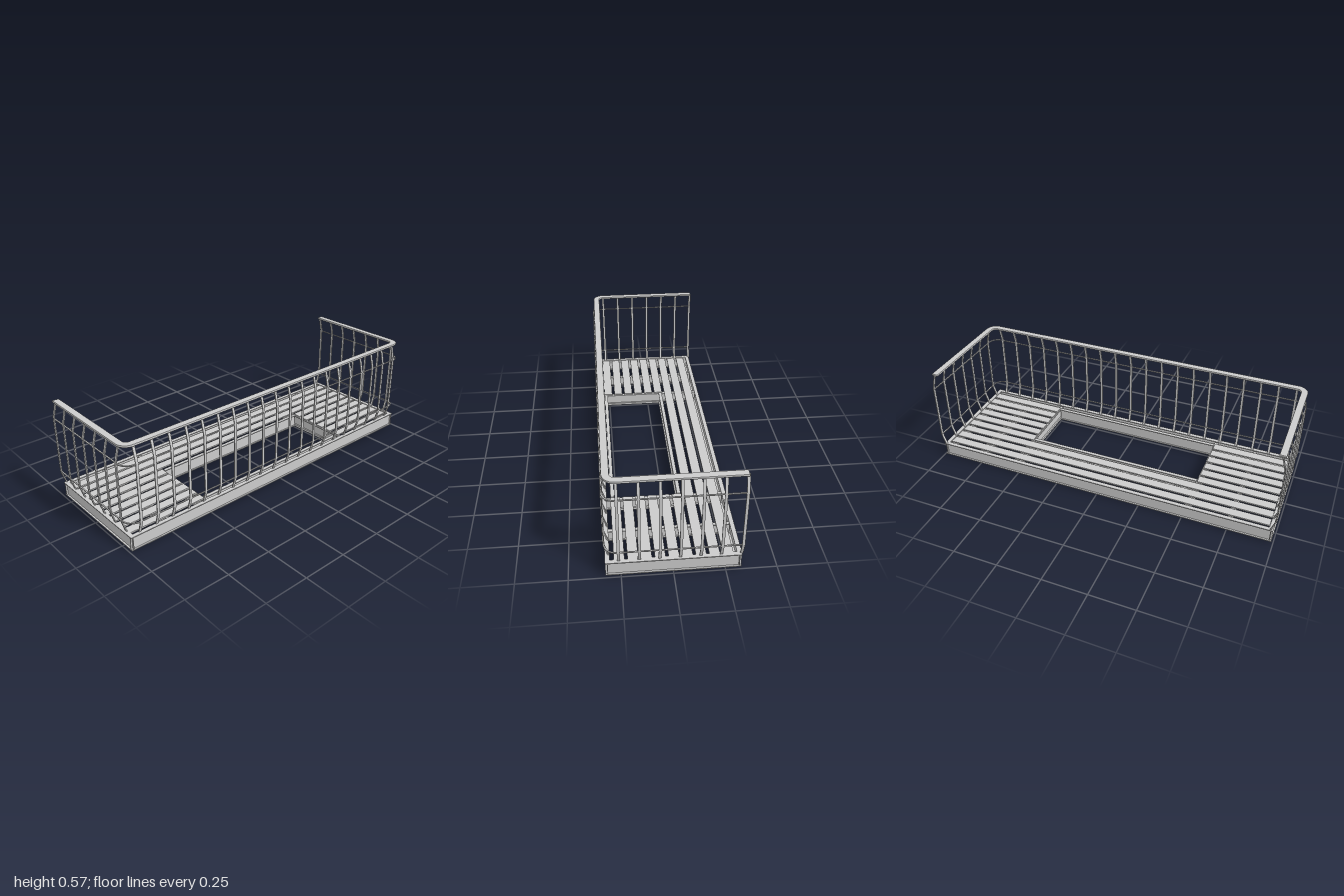
import * as THREE from 'three';

const material = new THREE.MeshStandardMaterial({ color: 0xcccccc, side: THREE.DoubleSide });

export function createModel() {
  const model = new THREE.Group();
  model.name = 'balcony';

  const add = (name, geometry, parent = model) => {
    const mesh = new THREE.Mesh(geometry, material);
    mesh.name = name;
    parent.add(mesh);
    return mesh;
  };
  const group = (name) => {
    const g = new THREE.Group();
    g.name = name;
    model.add(g);
    return g;
  };
  // Box given by its limits on each axis
  const slab = (name, x0, x1, y0, y1, z0, z1, parent) =>
    add(name, new THREE.BoxGeometry(x1 - x0, y1 - y0, z1 - z0), parent)
      .position.set((x0 + x1) / 2, (y0 + y1) / 2, (z0 + z1) / 2);

  // I-beam section swept along x or z
  const iBeam = (name, axis, from, to, at, y0, y1, width, parent) => {
    const f = 0.005, w = width / 2, t = 0.002, h = y1 - y0;
    const s = new THREE.Shape([
      [-w, 0], [w, 0], [w, f], [t, f], [t, h - f], [w, h - f],
      [w, h], [-w, h], [-w, h - f], [-t, h - f], [-t, f], [-w, f],
    ].map(([x, y]) => new THREE.Vector2(x, y)));
    const g = new THREE.ExtrudeGeometry(s, { depth: to - from, bevelEnabled: false });
    if (axis === 'x') g.rotateY(Math.PI / 2).translate(from, y0, at);
    else g.translate(at, y0, from);
    add(name, g, parent);
  };

  // Perimeter frame
  const frame = group('frame');
  for (const z of [0.313, -0.317]) iBeam('longBeam', 'x', -0.99, 0.99, z, 0.006, 0.084, 0.023, frame);
  for (const x of [-0.979, 0.979]) iBeam('endBeam', 'z', -0.328, 0.324, x, 0.006, 0.084, 0.023, frame);

  // Joists and the trimmers around the hatch opening
  const joists = group('joists');
  for (const s of [-1, 1]) {
    iBeam('joist', 'z', -0.31, 0.306, s * 0.755, 0.01, 0.073, 0.02, joists);
    iBeam('hatchJoist', 'z', -0.31, 0.306, s * 0.52, 0.01, 0.073, 0.022, joists);
    slab('hatchEdge', s * 0.52 - 0.011, s * 0.52 + 0.011, 0.001, 0.01, -0.078, 0.28, joists);
  }
  for (const z of [-0.081, 0.271]) iBeam('hatchTrimmer', 'x', -0.51, 0.51, z, 0.004, 0.08, 0.02, joists);

  // Floor slats, the front ones interrupted by the opening
  const floor = group('floor');
  for (let i = 0; i < 9; i++) {
    const z = -0.289 + i * 0.065;
    if (i < 3) slab('slat', -0.966, 0.966, 0.073, 0.081, z, z + 0.051, floor);
    else for (const s of [-1, 1]) {
      slab('slat', Math.min(s * 0.515, s * 0.966), Math.max(s * 0.515, s * 0.966), 0.073, 0.081, z, z + 0.051, floor);
    }
  }

  // Flat U-shaped band with rounded front corners
  const band = (name, hx, zf, r, w, top, h, bevel) => {
    const zb = -0.328;
    const s = new THREE.Shape();
    s.moveTo(-hx, zb);
    s.lineTo(-hx, zf - r);
    s.absarc(-hx + r, zf - r, r, Math.PI, Math.PI / 2, true);
    s.absarc(hx - r, zf - r, r, Math.PI / 2, 0, true);
    s.lineTo(hx, zb);
    s.lineTo(hx - w, zb);
    s.absarc(hx - r, zf - r, r - w, 0, Math.PI / 2, false);
    s.absarc(-hx + r, zf - r, r - w, Math.PI / 2, Math.PI, false);
    s.lineTo(-hx + w, zb);
    const g = new THREE.ExtrudeGeometry(s, {
      depth: h - 2 * bevel, bevelEnabled: bevel > 0, bevelSize: bevel, bevelThickness: bevel,
      bevelOffset: -bevel, bevelSegments: 2, curveSegments: 8,
    });
    add(name, g.rotateX(Math.PI / 2).translate(0, top - bevel, 0));
  };
  band('handrail', 0.993, 0.322, 0.06, 0.036, 0.57, 0.012, 0.003);
  band('upperRail', 0.998, 0.329, 0.06, 0.007, 0.47, 0.005, 0);
  band('lowerRail', 0.998, 0.329, 0.06, 0.007, 0.156, 0.005, 0);

  // Bowed flat balusters; shape x points outwards from the balcony
  const bow = [[-0.025, 0.083], [-0.007, 0.138], [-0.003, 0.155], [-0.003, 0.475], [-0.006, 0.49], [-0.024, 0.562]];
  const t = 0.003, width = 0.014;
  const outline = [
    ...bow.map(([d, y]) => new THREE.Vector2(d + t, y)),
    ...bow.map(([d, y]) => new THREE.Vector2(d - t, y)).reverse(),
  ];
  const barGeometry = new THREE.ExtrudeGeometry(new THREE.Shape(outline), { depth: width, bevelEnabled: false })
    .translate(0, 0, -width / 2);
  const balusters = group('balusters');
  const bar = (name, x, z, turn) => {
    const b = add(name, barGeometry, balusters);
    b.position.set(x, 0, z);
    b.rotation.y = turn;
  };
  for (let i = 0; i < 20; i++) bar('frontBaluster', (i - 9.5) * 0.0978, 0.331, -Math.PI / 2);
  for (let i = 0; i < 7; i++) {
    const z = 0.26 - i * 0.0977;
    bar('leftBaluster', 1, z, 0);
    bar('rightBaluster', -1, z, Math.PI);
  }

  return model;
}
